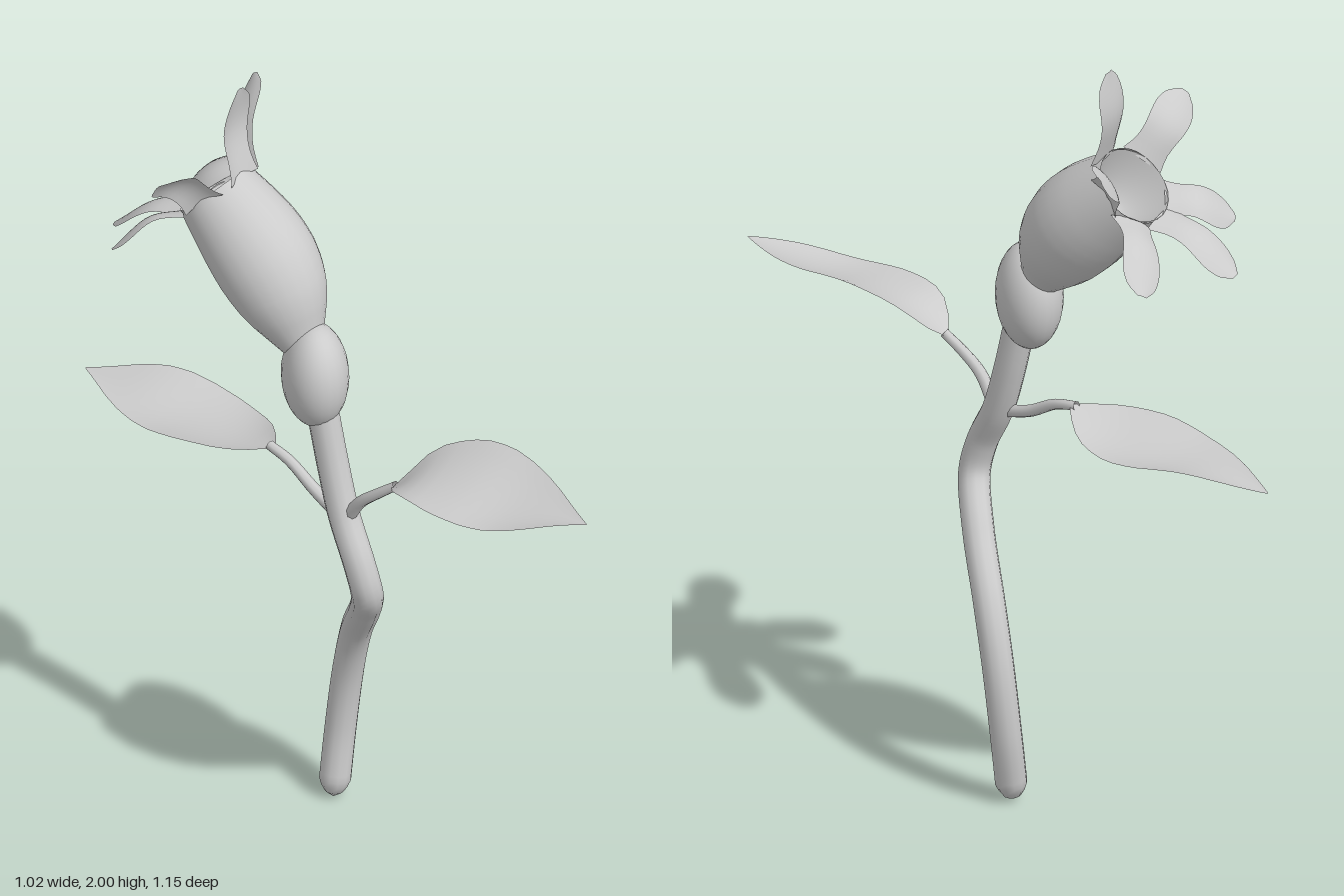
import * as THREE from 'three';
import { mergeVertices } from 'three/addons/utils/BufferGeometryUtils.js';

const V = (x, y, z) => new THREE.Vector3(x, y, z);
const material = new THREE.MeshStandardMaterial({ color: 0xcccccc, side: THREE.DoubleSide });

function mesh(name, geometry) {
  const m = new THREE.Mesh(geometry, material);
  m.name = name;
  return m;
}

// Linear lookup in a list of evenly spaced values
function sample(list, t) {
  const f = t * (list.length - 1), i = Math.min(Math.floor(f), list.length - 2);
  return THREE.MathUtils.lerp(list[i], list[i + 1], f - i);
}

// Round tube along a smooth path whose radius follows a function of t
function sweep(points, radiusAt, rings, sides) {
  const curve = new THREE.CatmullRomCurve3(points);
  const g = new THREE.TubeGeometry(curve, rings, 1, sides);
  const pos = g.attributes.position, v = V(0, 0, 0);
  for (let i = 0; i <= rings; i++) {
    const c = curve.getPointAt(i / rings), r = radiusAt(i / rings);
    for (let j = 0; j <= sides; j++) {
      const k = i * (sides + 1) + j;
      v.fromBufferAttribute(pos, k).sub(c).multiplyScalar(r).add(c);
      pos.setXYZ(k, v.x, v.y, v.z);
    }
  }
  g.deleteAttribute('uv');
  g.deleteAttribute('normal');
  const merged = mergeVertices(g, 1e-5);
  merged.computeVertexNormals();
  return merged;
}

// Thin blade: half widths across a centre line, with offset(s, t) shaping the cross-section
function blade(points, side, widths, offset, rows = 20, cols = 8) {
  const curve = new THREE.CatmullRomCurve3(points);
  const positions = [], index = [];
  for (let i = 0; i <= rows; i++) {
    const t = Math.sin((i / rows) * Math.PI / 2); // denser rows near the tip
    const c = curve.getPointAt(t), w = sample(widths, t);
    const normal = curve.getTangentAt(t).cross(side).normalize();
    for (let j = 0; j <= cols; j++) {
      const s = (j / cols) * 2 - 1;
      const p = c.clone().addScaledVector(side, s * w).addScaledVector(normal, offset(s, t) * w);
      positions.push(p.x, p.y, p.z);
      if (i < rows && j < cols) {
        const a = i * (cols + 1) + j, b = a + cols + 1;
        index.push(a, b, a + 1, b, b + 1, a + 1);
      }
    }
  }
  const g = new THREE.BufferGeometry();
  g.setAttribute('position', new THREE.Float32BufferAttribute(positions, 3));
  g.setIndex(index);
  g.computeVertexNormals();
  return g;
}

function leaf(name, stalk, rib, tilt) {
  const group = new THREE.Group();
  group.name = name;
  group.add(mesh('leafStalk', sweep(stalk, t => 0.017 - 0.005 * t, 12, 8)));
  const along = rib[rib.length - 1].clone().sub(rib[0]).setY(0).normalize();
  const side = V(along.z, 0, -along.x);
  const widths = [0.008, 0.07, 0.1, 0.118, 0.126, 0.124, 0.115, 0.097, 0.07, 0.036, 0.002];
  const cup = (s, t) => 0.16 * s * s + tilt(t) * s;
  group.add(mesh('leafBlade', blade(rib, side, widths, (s, t) => -cup(s, t) * -1, 24, 8)));
  return group;
}

export function createModel() {
  const model = new THREE.Group();

  // Curved stem with a rounded foot
  const stem = [
    V(0.012, 0.005, -0.1), V(0.035, 0.2, -0.125), V(0.052, 0.38, -0.112), V(0.062, 0.52, -0.062),
    V(0.064, 0.66, 0.05), V(0.054, 0.765, 0.137), V(0.036, 0.85, 0.132), V(0.008, 0.96, 0.08),
    V(-0.012, 1.08, 0.045), V(-0.035, 1.24, 0.015),
  ];
  model.add(mesh('stem', sweep(stem, t => 0.039 * Math.min(1, Math.sqrt(t / 0.035)), 80, 12)));

  // Swollen bulb under the flower
  const bulb = mesh('bulb', new THREE.SphereGeometry(1, 24, 16));
  bulb.scale.set(0.081, 0.136, 0.107);
  bulb.position.set(-0.045, 1.308, -0.022);
  model.add(bulb);

  // Flower cup and its hollow throat
  const rim = V(-0.245, 1.7, -0.27);
  const axis = V(-0.44, 0.74, -0.5).normalize();
  const flower = new THREE.Group();
  flower.name = 'flower';
  const cupRadii = [0.05, 0.072, 0.095, 0.112, 0.122, 0.127, 0.127, 0.123, 0.116, 0.108, 0.099];
  flower.add(mesh('flowerCup',
    sweep([V(-0.065, 1.37, -0.055), V(-0.14, 1.555, -0.155), rim], t => sample(cupRadii, t), 24, 24)));
  flower.add(mesh('throat',
    sweep([rim, rim.clone().addScaledVector(axis, -0.13)], t => 0.099 * Math.sqrt(1 - t), 10, 24)));

  // Six petals flaring from the rim to their tips
  const tips = [
    V(-0.19, 2.0, -0.25), V(-0.11, 1.85, -0.515), V(-0.2, 1.56, -0.575),
    V(-0.46, 1.515, -0.43), V(-0.5, 1.575, -0.24), V(-0.41, 1.85, -0.095),
  ];
  const petalWidths = [0.056, 0.049, 0.045, 0.045, 0.047, 0.05, 0.052, 0.052, 0.048, 0.038, 0.012];
  for (const tip of tips) {
    const radial = tip.clone().sub(rim).projectOnPlane(axis).normalize();
    const base = rim.clone().addScaledVector(radial, 0.092).addScaledVector(axis, -0.005);
    const bend = base.clone().lerp(tip, 0.45).addScaledVector(axis, 0.025).addScaledVector(radial, -0.01);
    const side = axis.clone().cross(radial).normalize();
    flower.add(mesh('petal', blade([base, bend, tip], side, petalWidths, s => -0.2 * s * s, 16, 6)));
  }
  model.add(flower);

  // Two leaves on thin stalks
  model.add(leaf('frontLeaf',
    [V(0.012, 0.95, 0.085), V(0.04, 1.03, 0.13), V(0.075, 1.075, 0.165), V(0.115, 1.115, 0.195)],
    [V(0.11, 1.11, 0.19), V(0.165, 1.17, 0.245), V(0.25, 1.195, 0.325), V(0.36, 1.197, 0.43), V(0.51, 1.225, 0.577)],
    t => 0.3 * Math.sin(Math.PI * t)));
  model.add(leaf('backLeaf',
    [V(0.0, 0.955, 0.075), V(-0.05, 0.985, 0.0), V(-0.1, 1.03, -0.065), V(-0.14, 1.045, -0.115)],
    [V(-0.13, 1.043, -0.105), V(-0.2, 1.012, -0.2), V(-0.3, 1.0, -0.32), V(-0.4, 1.005, -0.44), V(-0.508, 0.995, -0.565)],
    t => 0.12 * Math.sin(2 * Math.PI * t)));

  return model;
}
